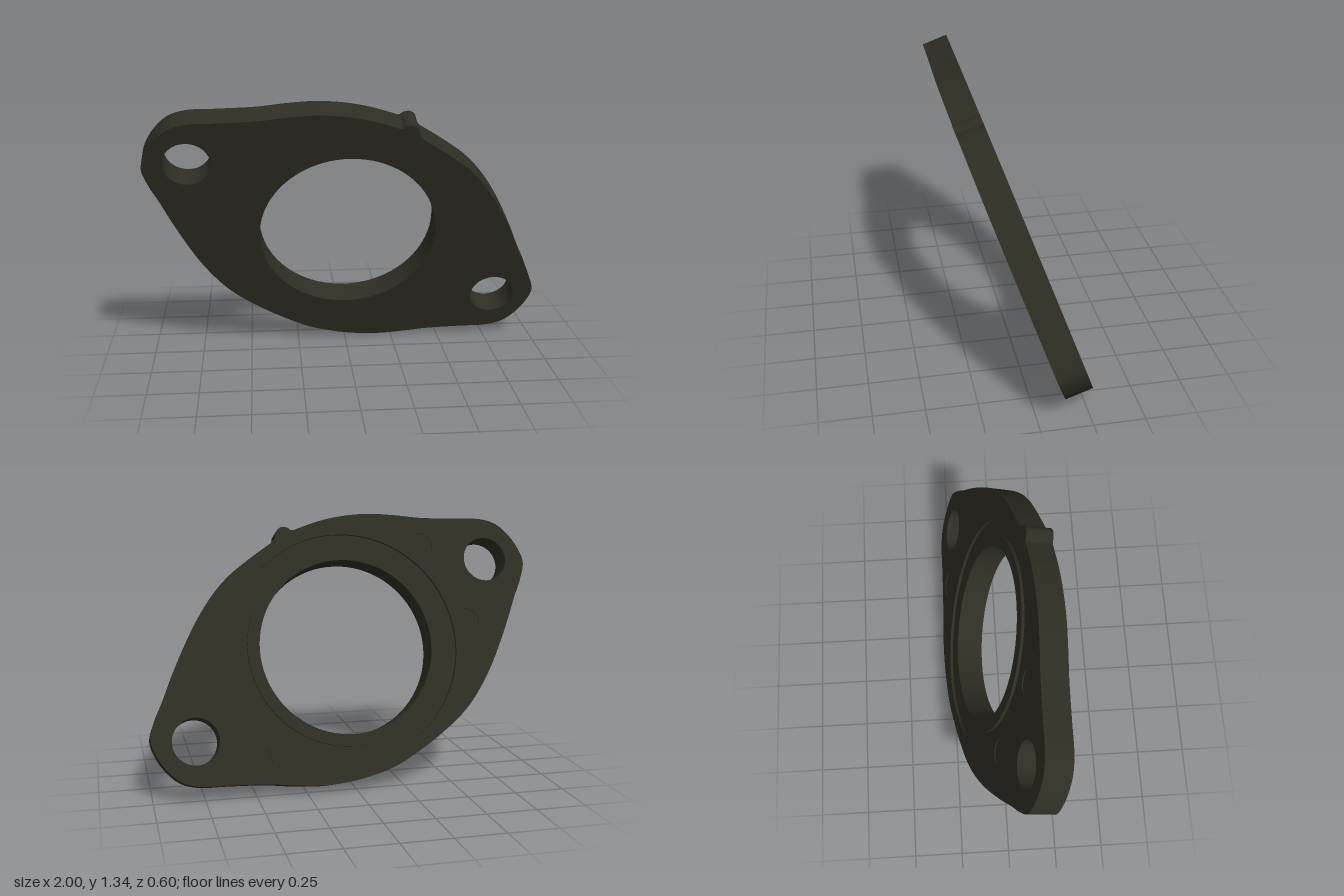
import * as THREE from 'three';
import { toCreasedNormals } from 'three/addons/utils/BufferGeometryUtils.js';

const BORE = 0.445, LIP = 0.505, GROOVE = 0.58;   // radii round the centre
const HALF = 0.069, DEPTH = 0.015;                // half thickness, groove depth
const BOLT = { x: 0.785, y: -0.43, r: 0.115 };
const MARKS = [[-0.65, 0.1], [-0.43, 0.51], [0.49, -0.54]];
const MARK_R = 0.068;

// Half of the point-symmetric outline, split where the tab sits
const sideA = [[1, -0.41], [0.973, -0.314], [0.928, -0.217], [0.864, -0.068], [0.757, 0.145],
  [0.655, 0.295], [0.569, 0.385], [0.436, 0.485]];
const plain = [[0.323, 0.555]];
const tab = [[0.365, 0.533], [0.34, 0.552], [0.326, 0.575], [0.318, 0.605], [0.292, 0.625],
  [0.262, 0.622], [0.238, 0.607]];
const sideB = [[0.205, 0.617], [0.104, 0.65], [-0.019, 0.676], [-0.163, 0.687], [-0.313, 0.677],
  [-0.447, 0.661], [-0.634, 0.653], [-0.78, 0.648], [-0.865, 0.62], [-0.93, 0.56], [-0.975, 0.49]];

function outline() {
  const pts = [...sideA, ...tab, ...sideB,
    ...[...sideA, ...plain, ...sideB].map(([x, y]) => [-x, -y])];
  const curve = new THREE.CatmullRomCurve3(pts.map(([x, y]) => new THREE.Vector3(x, y, 0)), true);
  const samples = curve.getPoints(pts.length * 6).slice(0, -1);
  return new THREE.Shape(samples.map(p => new THREE.Vector2(p.x, p.y)));
}

function circle(Type, x, y, r) {
  const path = new Type();
  path.absarc(x, y, r, 0, Math.PI * 2, false);
  return path;
}

const hole = (x, y, r) => circle(THREE.Path, x, y, r);

function slab(shape, holes, z0, z1) {
  shape.holes.push(...holes);
  const geo = new THREE.ExtrudeGeometry(shape, { depth: z1 - z0, bevelEnabled: false, curveSegments: 40 });
  geo.translate(0, 0, z0);
  return toCreasedNormals(geo, 0.6);
}

export function createModel() {
  const model = new THREE.Group();
  const metal = new THREE.MeshStandardMaterial({ color: 0x2e2d23 });
  metal.name = 'dark olive metal';

  const flange = new THREE.Group();
  flange.name = 'flange';
  const add = (name, geo) => {
    const mesh = new THREE.Mesh(geo, metal);
    mesh.name = name;
    flange.add(mesh);
  };
  const bolts = () => [1, -1].map(s => hole(s * BOLT.x, s * BOLT.y, BOLT.r));
  const floor = -HALF + DEPTH;

  // Main plate, up to the floor of the ring groove
  add('plate', slab(outline(), [hole(0, 0, BORE), ...bolts()], floor, HALF));
  // Rear skin, left open for the groove and the small round marks
  add('rearFace', slab(outline(),
    [hole(0, 0, GROOVE), ...bolts(), ...MARKS.map(([x, y]) => hole(x, y, MARK_R))], -HALF, floor));
  // Lip between bore and groove
  add('boreLip', slab(circle(THREE.Shape, 0, 0, LIP), [hole(0, 0, BORE)], -HALF, floor));
  // Shallow round marks, just below the rear face
  for (const [x, y] of MARKS) {
    add('roundMark', slab(circle(THREE.Shape, x, y, MARK_R), [], -HALF + 0.005, floor));
  }

  // Lean the whole flange forward
  flange.rotation.x = THREE.MathUtils.degToRad(20);
  flange.position.y = 0.67;
  model.add(flange);
  return model;
}
